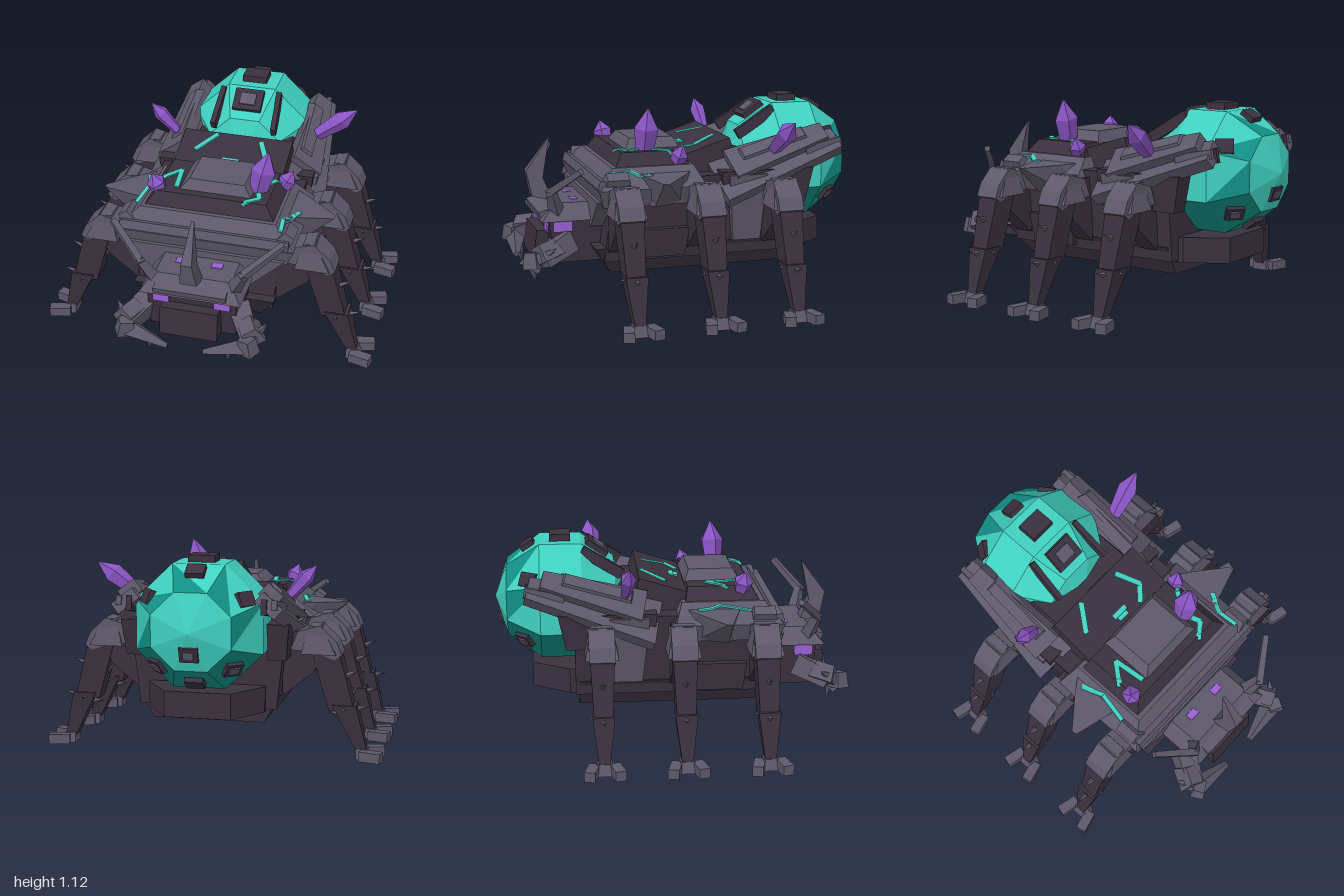
import * as THREE from 'three';

const material = (name, color) => {
  const m = new THREE.MeshStandardMaterial({ color, flatShading: true });
  m.name = name;
  return m;
};
const V = (a) => new THREE.Vector3(...a);
const place = (g, pos, rot) => g
  .applyMatrix4(new THREE.Matrix4().makeRotationFromEuler(new THREE.Euler(...rot))).translate(...pos);

// Box whose lower and upper faces are separate rectangles [x0, x1, z0, z1]
function frustum(y0, lo, y1, hi) {
  const g = new THREE.BoxGeometry(1, 1, 1), p = g.attributes.position;
  for (let i = 0; i < p.count; i++) {
    const up = p.getY(i) > 0, r = up ? hi : lo;
    p.setXYZ(i, r[p.getX(i) > 0 ? 1 : 0], up ? y1 : y0, r[p.getZ(i) > 0 ? 3 : 2]);
  }
  return g;
}

// Tapered slab, rotated and then placed
function slab([w, h, d], pos, rot = [0, 0, 0], taper = 1) {
  const a = w / 2, b = d / 2, t = Math.min(a, b) * (1 - taper);
  return place(frustum(-h / 2, [-a, a, -b, b], h / 2, [-a + t, a - t, -b + t, b - t]), pos, rot);
}

// Outline in x and y, given thickness from z0 to z1
function prism(points, z0, z1) {
  const shape = new THREE.Shape(points.map((p) => new THREE.Vector2(...p)));
  return new THREE.ExtrudeGeometry(shape, { depth: z1 - z0, bevelEnabled: false }).translate(0, 0, z0);
}
// Outline in x and z, given thickness from y0 to y1
const plan = (points, y0, y1) => prism(points, -y1, -y0).rotateX(Math.PI / 2);
// Plate that narrows toward the rear
const wedge = (front, rear, len, h, pos, rot) => place(
  plan([[-front, len / 2], [front, len / 2], [rear, -len / 2], [-rear, -len / 2]], -h / 2, h / 2), pos, rot);

// Turned shape along a line; profile holds [radius, fraction of length]
function turned(a, b, profile, sides) {
  const dir = V(b).sub(V(a)), len = dir.length();
  const g = new THREE.LatheGeometry(profile.map(([r, t]) => new THREE.Vector2(r, t * len)), sides);
  g.applyQuaternion(new THREE.Quaternion().setFromUnitVectors(new THREE.Vector3(0, 1, 0), dir.normalize()));
  return g.translate(...a);
}
const spike = (a, b, r) => turned(a, b, [[0, 0], [r, 0], [0, 1]], 4);
const bar = (a, b, r0, r1) => turned(a, b, [[0, 0], [r0, 0], [r1, 1], [0, 1]], 4);

function mirrored(geo) {
  const g = geo.clone().scale(-1, 1, 1), p = g.attributes.position;
  for (let i = 0; i < p.count; i += 3) {
    const a = V([p.getX(i), p.getY(i), p.getZ(i)]);
    p.setXYZ(i, p.getX(i + 1), p.getY(i + 1), p.getZ(i + 1));
    p.setXYZ(i + 1, a.x, a.y, a.z);
  }
  return g;
}

export function createModel() {
  const dark = material('dark hide', 0x3a303e), grey = material('grey shell', 0x5d586a);
  const teal = material('teal orb', 0x40d0c0), deep = material('deep teal', 0x128f86);
  const purple = material('purple crystal', 0x8a55c4), eyeMat = material('eye violet', 0x9a60d6);
  const model = new THREE.Group();
  model.name = 'crystalBeetle';

  const add = (name, geo, mat) => {
    const g = geo.index ? geo.toNonIndexed() : geo;
    g.computeVertexNormals();
    const mesh = new THREE.Mesh(g, mat);
    mesh.name = name;
    model.add(mesh);
    return mesh;
  };
  const pair = (name, geo, mat) => {
    const g = geo.index ? geo.toNonIndexed() : geo;
    return [add(name + 'Left', g, mat), add(name + 'Right', mirrored(g), mat)];
  };

  // Hull
  add('belly', frustum(0.2, [-0.31, 0.31, -0.53, 0.5], 0.36, [-0.4, 0.4, -0.53, 0.6]), dark);
  add('hull', frustum(0.28, [-0.38, 0.38, -0.55, 0.55], 0.74, [-0.43, 0.43, -0.55, 0.5]), dark);
  add('rearHull', plan([[-0.32, -0.45], [-0.32, -0.58], [-0.18, -0.79], [0.18, -0.79], [0.32, -0.58], [0.32, -0.45]], 0.27, 0.41), dark);
  pair('flankBlock', frustum(0.3, [0.3, 0.42, 0.1, 0.38], 0.46, [0.3, 0.44, 0.08, 0.4]), dark);
  pair('flankColumn', frustum(0.36, [0.35, 0.42, -0.34, -0.18], 0.74, [0.35, 0.48, -0.36, -0.14]), grey);

  // Front shell
  const surfaces = [
    add('shellRim', frustum(0.6, [-0.46, 0.46, 0, 0.57], 0.7, [-0.5, 0.5, 0, 0.6]), grey),
    add('shellSlope', frustum(0.7, [-0.5, 0.5, 0, 0.59], 0.8, [-0.38, 0.38, 0.04, 0.5]), grey),
    add('shellRise', frustum(0.79, [-0.37, 0.37, 0.06, 0.48], 0.87, [-0.31, 0.31, 0.08, 0.43]), dark),
    add('shellCap', frustum(0.86, [-0.2, 0.22, 0.07, 0.39], 0.925, [-0.14, 0.17, 0.1, 0.35]), grey),
    add('backDeck', slab([0.64, 0.16, 0.3], [0, 0.805, -0.07], [0.3, 0, 0]), dark),
  ];
  add('frontBar', slab([0.94, 0.05, 0.06], [0, 0.72, 0.565], [-0.3, 0, 0]), grey);
  add('rearDeck', frustum(0.6, [-0.4, 0.4, -0.55, -0.05], 0.84, [-0.28, 0.28, -0.4, -0.1]), dark);
  pair('shellCorner', slab([0.1, 0.1, 0.16], [0.44, 0.73, 0.49], [0, 0, -0.6], 0.6), grey);

  // Side spikes, undercut toward the hull
  const fin = plan([[0.4, 0.06], [0.49, 0.12], [0.665, 0.26], [0.66, 0.29], [0.38, 0.37]], 0.6, 0.76);
  const fp = fin.attributes.position;
  for (let i = 0; i < fp.count; i++) {
    const x = fp.getX(i);
    if (fp.getY(i) < 0.7) fp.setX(i, 0.4 + (x - 0.4) * 0.35);
    else fp.setY(i, 0.77 - Math.max(0, x - 0.4) * 0.06);
  }
  surfaces.push(...pair('shellSpike', fin, grey));

  // Stacked plates on each rear flank
  const tilt = [0.28, 0.02, -0.7];
  pair('rearPlateLower', wedge(0.15, 0.07, 0.74, 0.07, [0.39, 0.785, -0.45], tilt), grey);
  pair('rearPlateUpper', wedge(0.1, 0.055, 0.58, 0.08, [0.385, 0.85, -0.45], tilt), grey);
  pair('rearPlateRidge', slab([0.11, 0.04, 0.42], [0.385, 0.89, -0.42], tilt, 0.6), grey);
  pair('rearPlateSkirt', frustum(0.56, [0.34, 0.44, -0.6, -0.12], 0.76, [0.34, 0.46, -0.64, -0.1]), dark);
  pair('rearProng', slab([0.03, 0.05, 0.22], [0.42, 0.87, -0.71], [0.2, 0.06, 0]), grey);

  // Eight-sided orb lying along z, with deeper facets below and around the rear
  const centre = [0, 0.755, -0.62], R = 0.375;
  const orbGeo = new THREE.SphereGeometry(R, 8, 5).rotateY(Math.PI / 8).rotateX(Math.PI / 2).scale(1.04, 1, 1).toNonIndexed();
  const op = orbGeo.attributes.position;
  for (let i = 0; i < op.count; i += 3) {
    const y = (op.getY(i) + op.getY(i + 1) + op.getY(i + 2)) / 3, z = (op.getZ(i) + op.getZ(i + 1) + op.getZ(i + 2)) / 3;
    const rearFacet = z < -0.12 && z > -0.26 && (i / 3) % 2 === 1;
    orbGeo.addGroup(i, 3, y < -0.16 || rearFacet ? 1 : 0);
  }
  add('orb', orbGeo.translate(...centre), [teal, deep]);

  // Plates riveted on the orb: direction, width, with inset or not
  const rivets = [[[0, 1, 0], 0.145, false], [[0, 0.81, 0.59], 0.17, true], [[0, 0.85, -0.52], 0.1, false],
    [[0, -0.31, -0.95], 0.1, true], [[0, -0.81, -0.59], 0.1, false]];
  for (const s of [-1, 1]) rivets.push([[s * 0.74, 0.45, -0.5], 0.1, false], [[s * 0.57, -0.57, -0.59], 0.1, true]);
  for (const [d, size, inset] of rivets) {
    const dir = V(d).normalize();
    const turn = new THREE.Matrix4().lookAt(dir, new THREE.Vector3(), new THREE.Vector3(0, 1, 0.01));
    const plate = (name, w, t, dist, mat) => {
      const p = dir.clone().multiplyScalar(dist).add(V(centre));
      add(name, new THREE.BoxGeometry(w, w * 0.8, t).applyMatrix4(turn).translate(p.x, p.y, p.z), mat);
    };
    plate('orbPlate', size, 0.06, R * 0.9, dark);
    if (inset) plate('orbPlateInset', size * 0.55, 0.012, R * 0.9 + 0.033, grey);
  }
  pair('orbClasp', slab([0.03, 0.06, 0.26], [0.175, 0.985, -0.39], [0.55, 0.05, 0]), dark);
  pair('orbBrace', slab([0.03, 0.08, 0.2], [0.37, 0.86, -0.72], [0.2, 0.12, 0]), dark);

  // Head
  add('neck', frustum(0.46, [-0.27, 0.27, 0.45, 0.6], 0.63, [-0.45, 0.45, 0.45, 0.6]), grey);
  add('head', frustum(0.26, [-0.24, 0.24, 0.5, 0.8], 0.53, [-0.25, 0.25, 0.5, 0.83]), dark);
  add('snout', frustum(0.27, [-0.16, 0.16, 0.7, 0.9], 0.43, [-0.16, 0.16, 0.7, 0.88]), dark);
  add('headPlate', frustum(0.5, [-0.28, 0.28, 0.55, 0.87], 0.59, [-0.21, 0.21, 0.55, 0.79]), grey);
  add('browBar', slab([0.4, 0.04, 0.06], [0, 0.53, 0.84], [0.3, 0, 0]), grey);
  pair('eyeFront', slab([0.09, 0.06, 0.008], [0.17, 0.46, 0.828]), eyeMat);
  pair('eyeSide', slab([0.008, 0.06, 0.1], [0.25, 0.465, 0.75]), eyeMat);
  pair('eyeTop', slab([0.07, 0.008, 0.05], [0.1, 0.589, 0.66], [0, 0, 0], 0.8), eyeMat);
  const hornSide = [[-0.76, 0.57], [-0.88, 0.6], [-0.91, 0.74], [-0.77, 0.93], [-0.8, 0.78], [-0.815, 0.7]];
  const horn = prism(hornSide, -0.04, 0.04).rotateY(Math.PI / 2), hp = horn.attributes.position;
  for (let i = 0; i < hp.count; i++) hp.setX(i, hp.getX(i) * Math.max(0.2, (1 - hp.getY(i)) * 2.9));
  add('noseHorn', horn, grey);
  pair('antennaBase', bar([0.22, 0.55, 0.78], [0.29, 0.68, 0.82], 0.045, 0.028), grey);
  pair('antenna', bar([0.27, 0.66, 0.83], [0.47, 0.81, 0.69], 0.028, 0.022), grey);

  // Jaws
  pair('jawArm', bar([0.24, 0.38, 0.72], [0.34, 0.31, 0.89], 0.085, 0.07), grey);
  pair('jawCheek', slab([0.12, 0.1, 0.14], [0.33, 0.35, 0.86], [0.2, 0.5, 0.4], 0.7), grey);
  pair('jawKnuckle', slab([0.09, 0.09, 0.08], [0.34, 0.31, 0.94], [0.1, -0.5, 0.2], 0.8), grey);
  pair('jawClaw', bar([0.33, 0.29, 0.92], [0.1, 0.235, 0.955], 0.06, 0.018), grey);
  pair('jawFang', spike([0.22, 0.25, 0.92], [0.22, 0.15, 0.9], 0.03), grey);
  pair('jawBarb', spike([0.35, 0.32, 0.9], [0.42, 0.39, 0.82], 0.045), grey);

  // Six legs
  for (const z of [0.475, 0.03, -0.41]) {
    const leg = (name, geo, mat = grey) => pair(name, geo.translate(0, 0, z), mat);
    leg('hip', prism([[0.38, 0.7], [0.4, 0.34], [0.57, 0.48], [0.6, 0.56], [0.56, 0.7]], -0.055, 0.055), dark);
    leg('knee', prism([[0.44, 0.6], [0.6, 0.58], [0.68, 0.55], [0.72, 0.58], [0.69, 0.65], [0.6, 0.735], [0.48, 0.7]], -0.07, 0.07));
    leg('kneeCap', frustum(0.58, [0.5, 0.69, -0.09, 0.09], 0.73, [0.54, 0.61, -0.06, 0.06]));
    leg('upperLeg', frustum(0.27, [0.65, 0.79, -0.05, 0.05], 0.61, [0.55, 0.7, -0.066, 0.066]), dark);
    leg('lowerLeg', frustum(0.04, [0.8, 0.86, -0.028, 0.028], 0.3, [0.67, 0.8, -0.06, 0.06]), dark);
    leg('footPad', frustum(0, [0.8, 0.88, -0.05, 0.05], 0.06, [0.8, 0.86, -0.04, 0.04]));
    for (const s of [-1, 1]) {
      leg('toe', slab([0.12, 0.055, 0.06], [0.885, 0.028, s * 0.068], [0, -s * 0.25, 0]));
      leg('shinSpike', spike([0.73, 0.28, s * 0.04], [0.74, 0.27, s * 0.08], 0.018));
    }
    leg('outerThorn', spike([0.73, 0.45, 0], [0.81, 0.49, 0], 0.02));
    leg('outerShinThorn', spike([0.79, 0.27, 0], [0.87, 0.295, 0], 0.02));
    leg('innerThorn', spike([0.62, 0.42, 0], [0.56, 0.47, 0], 0.018));
    leg('innerShinThorn', spike([0.7, 0.24, 0], [0.64, 0.25, 0], 0.018));
  }

  // Crystals: base, tip, radius
  [[[0.22, 0.81, 0.28], [0.285, 1.11, 0.27], 0.07], [[-0.29, 0.8, 0.37], [-0.34, 0.955, 0.4], 0.055],
    [[0.31, 0.77, 0.13], [0.39, 0.91, 0.1], 0.05], [[0.42, 0.87, -0.42], [0.65, 1.045, -0.45], 0.058],
    [[-0.4, 0.86, -0.27], [-0.55, 1.035, -0.25], 0.045]].forEach(([a, b, r]) => {
    add('crystal', turned(a, b, [[0, 0], [r * 0.65, 0], [r, 0.62], [0, 1]], 5), purple);
  });

  // Glowing veins laid on the shell, as paths of [x, z]
  const ray = new THREE.Raycaster();
  const onShell = (x, z) => {
    ray.set(new THREE.Vector3(x, 3, z), new THREE.Vector3(0, -1, 0));
    const hit = ray.intersectObjects(surfaces)[0];
    return new THREE.Vector3(x, (hit ? hit.point.y : 0.8) + 0.003, z);
  };
  const veins = [[[-0.22, -0.04], [-0.12, -0.17]], [[0.14, -0.15], [0.2, -0.02], [0.13, 0.05]],
    [[-0.44, 0.13], [-0.4, 0.25], [-0.43, 0.42]], [[-0.32, 0.3], [-0.23, 0.19], [-0.21, 0.37]],
    [[0.33, 0.14], [0.25, 0.25]], [[0.24, 0.32], [0.26, 0.38], [0.18, 0.44]], [[0.47, 0.3], [0.4, 0.41], [0.41, 0.52]],
    [[-0.045, 0.01], [0.045, 0.01]], [[-0.03, 0.035], [0.03, 0.035]]];
  for (const path of veins) for (let i = 1; i < path.length; i++) {
    const [[x0, z0], [x1, z1]] = [path[i - 1], path[i]], steps = 4;
    for (let k = 0; k < steps; k++) {
      const at = (t) => onShell(x0 + (x1 - x0) * t, z0 + (z1 - z0) * t);
      const a = at(k / steps), b = at((k + 1) / steps), mid = a.clone().add(b).multiplyScalar(0.5);
      const g = new THREE.BoxGeometry(0.028, 0.009, a.distanceTo(b) + 0.006);
      g.applyMatrix4(new THREE.Matrix4().lookAt(b, a, new THREE.Vector3(0, 1, 0)));
      add('vein', g.translate(mid.x, mid.y, mid.z), teal);
    }
  }
  return model;
}
